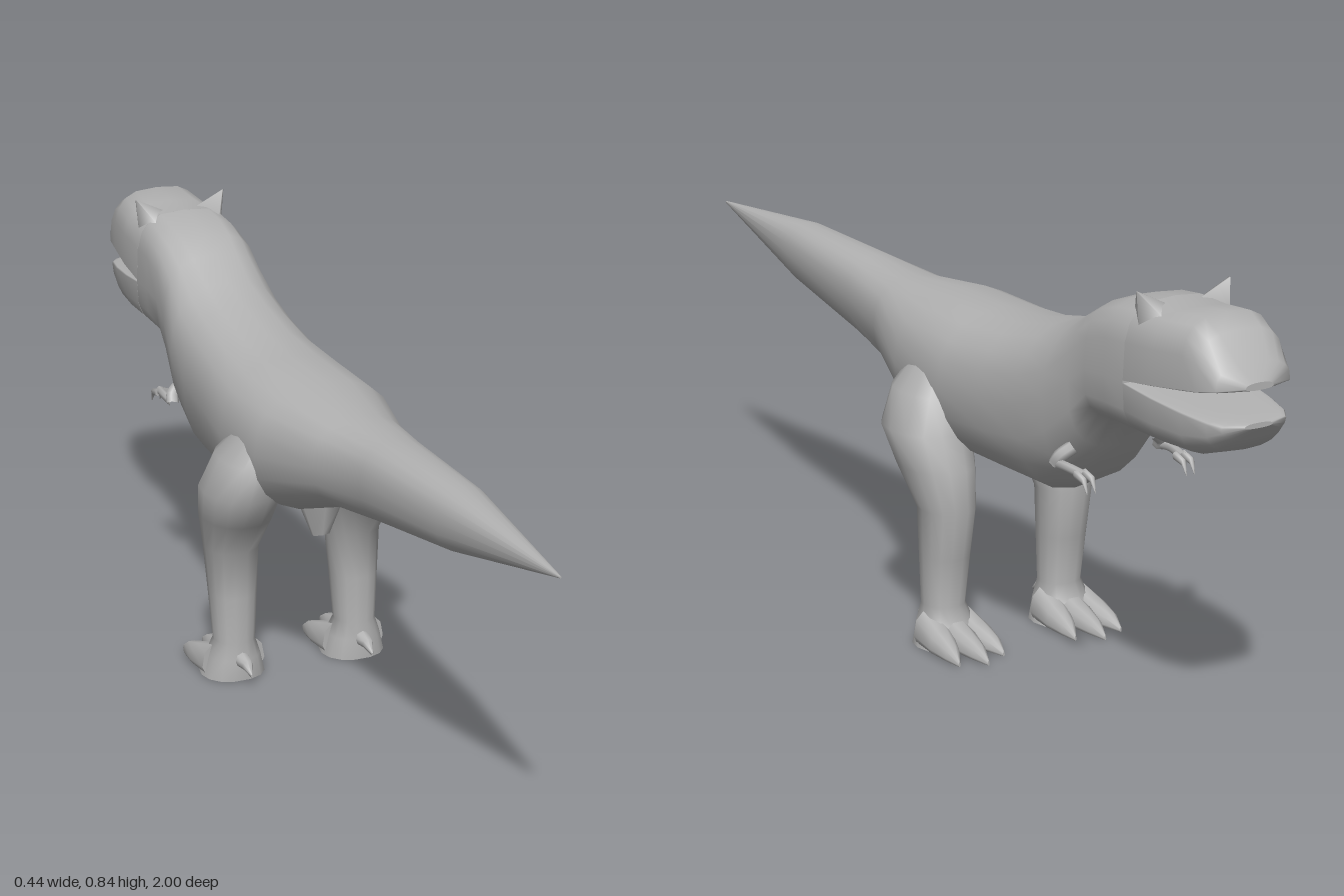
import * as THREE from 'three';

const skin = new THREE.MeshStandardMaterial({ color: 0xb2b2b2 });
skin.name = 'grey skin';

// Closed skin over equal-length rings of [x, y, z]; faces always end up outward.
function loft(rings) {
  const pos = rings.flat(2), idx = [], n = rings[0].length;
  for (let i = 0; i < rings.length - 1; i++) {
    for (let j = 0; j < n; j++) {
      const a = i * n + j, b = i * n + (j + 1) % n;
      idx.push(a, b, a + n, b, b + n, a + n);
    }
  }
  // Separate end caps keep their rims crisp
  [rings[0], rings[rings.length - 1]].forEach((ring, end) => {
    const s = pos.length / 3;
    pos.push(...ring.flat());
    for (let k = 0; k < 3; k++) pos.push(ring.reduce((t, p) => t + p[k], 0) / n);
    for (let j = 0; j < n; j++) {
      const a = s + j, b = s + (j + 1) % n;
      idx.push(...(end ? [a, b, s + n] : [b, a, s + n]));
    }
  });
  const v = (i) => new THREE.Vector3().fromArray(pos, i * 3);
  let volume = 0;
  for (let i = 0; i < idx.length; i += 3) {
    volume += v(idx[i]).dot(v(idx[i + 1]).cross(v(idx[i + 2])));
  }
  if (volume < 0) idx.reverse();
  const g = new THREE.BufferGeometry();
  g.setAttribute('position', new THREE.Float32BufferAttribute(pos, 3));
  g.setIndex(idx);
  g.computeVertexNormals();
  return g;
}

const pow = (v, p) => Math.sign(v) * Math.abs(v) ** p;

// Upright ring: half width w is reached at height mid, p < 1 is boxier.
function upright([z, top, bottom, w, mid, p = 0.85], cx = 0, n = 20) {
  return Array.from({ length: n }, (_, i) => {
    const a = (i / n) * Math.PI * 2, s = pow(Math.sin(a), p);
    return [cx + w * pow(Math.cos(a), p), mid + s * (s > 0 ? top - mid : mid - bottom), z];
  });
}

// Level ring for the legs
function level([y, x, z, rx, rz], side, n = 14) {
  return Array.from({ length: n }, (_, i) => {
    const a = (i / n) * Math.PI * 2;
    return [side * (x + rx * pow(Math.cos(a), 0.9)), y, z + rz * pow(Math.sin(a), 0.9)];
  });
}

export function createModel() {
  const model = new THREE.Group();
  model.name = 'dinosaur';
  const add = (name, geometry, parent = model) => {
    const m = new THREE.Mesh(geometry, skin);
    m.name = name;
    parent.add(m);
    return m;
  };

  // Tail, trunk and neck: z, top, bottom, half width, height of widest point
  add('body', loft([
    [1.0, 0.636, 0.632, 0.002, 0.634],
    [0.62, 0.665, 0.54, 0.055, 0.605],
    [0.33, 0.658, 0.49, 0.075, 0.58],
    [0.17, 0.65, 0.465, 0.102, 0.56],
    [0.0, 0.665, 0.4, 0.152, 0.53],
    [-0.17, 0.665, 0.37, 0.156, 0.52],
    [-0.3, 0.675, 0.365, 0.142, 0.53],
    [-0.42, 0.7, 0.365, 0.135, 0.55],
    [-0.5, 0.725, 0.405, 0.13, 0.58],
    [-0.57, 0.765, 0.49, 0.118, 0.63, 0.75],
    [-0.62, 0.79, 0.562, 0.115, 0.665, 0.65],
    [-0.68, 0.808, 0.565, 0.113, 0.67, 0.6],
    [-0.74, 0.815, 0.565, 0.111, 0.67, 0.6],
  ].map((s) => upright(s))));

  // Jaws, flat along the open mouth
  add('upperJaw', loft([
    [-0.74, 0.815, 0.672, 0.111, 0.673, 0.6],
    [-0.82, 0.814, 0.681, 0.109, 0.684, 0.6],
    [-0.9, 0.822, 0.69, 0.1, 0.695, 0.62],
    [-0.94, 0.8, 0.696, 0.095, 0.7, 0.65],
    [-0.98, 0.75, 0.702, 0.08, 0.707, 0.75],
    [-1.0, 0.718, 0.704, 0.03, 0.709],
  ].map((s) => upright(s))));
  add('lowerJaw', loft([
    [-0.74, 0.668, 0.565, 0.111, 0.667, 0.6],
    [-0.82, 0.661, 0.565, 0.107, 0.658, 0.6],
    [-0.9, 0.655, 0.566, 0.098, 0.65, 0.65],
    [-0.96, 0.65, 0.586, 0.085, 0.644, 0.75],
    [-0.985, 0.647, 0.615, 0.07, 0.64],
    [-1.0, 0.645, 0.635, 0.03, 0.639],
  ].map((s) => upright(s))));

  // Small wedge under the hips
  const vent = add('vent', new THREE.CylinderGeometry(0.05, 0.02, 0.07, 6));
  vent.scale.z = 0.55;
  vent.position.set(0, 0.37, -0.022);

  for (const side of [1, -1]) {
    const label = side > 0 ? 'left' : 'right';

    // Pointed brow horn
    add(label + 'BrowHorn', loft([
      [[0.025, 0.805, -0.765], [0.07, 0.795, -0.715], [0.094, 0.765, -0.765], [0.07, 0.795, -0.81]],
      [[0.099, 0.841, -0.765], [0.1, 0.841, -0.763], [0.101, 0.84, -0.765], [0.1, 0.841, -0.767]],
    ].map((r) => r.map(([x, y, z]) => [side * x, y, z]))));

    // Leg: height, centre x, centre z, radius x, radius z
    const leg = new THREE.Group();
    leg.name = label + 'Leg';
    model.add(leg);
    add('legColumn', loft([
      [0.57, 0.1, -0.08, 0.03, 0.05],
      [0.5, 0.125, -0.09, 0.065, 0.09],
      [0.43, 0.14, -0.1, 0.08, 0.1],
      [0.36, 0.138, -0.135, 0.071, 0.087],
      [0.28, 0.135, -0.17, 0.055, 0.06],
      [0.18, 0.135, -0.163, 0.049, 0.05],
      [0.08, 0.135, -0.157, 0.043, 0.042],
      [0.045, 0.135, -0.163, 0.055, 0.055],
      [0, 0.135, -0.17, 0.067, 0.062],
    ].map((s) => level(s, side))), leg);

    // Three clawed toes
    for (const [from, to, reach] of [[0.1, 0.083, -0.3], [0.135, 0.135, -0.328], [0.17, 0.187, -0.305]]) {
      add('toe', loft([
        [0, 0.07, 0.034], [0.45, 0.048, 0.029], [0.78, 0.032, 0.017], [1, 0.01, 0.002],
      ].map(([t, top, w]) => {
        const x = side * THREE.MathUtils.lerp(from, to, t);
        return upright([THREE.MathUtils.lerp(-0.16, reach, t), top, 0, w, top * 0.3], x, 10);
      })), leg);
    }
    // Dew claw behind the ankle
    add('heelClaw', loft([
      [-0.125, 0.065, 0.03, 0.018, 0.045], [-0.085, 0.052, 0.034, 0.012, 0.043],
      [-0.062, 0.032, 0.026, 0.002, 0.029],
    ].map((s) => upright(s, side * 0.135, 8))), leg);

    // Tiny bent arm with two claws
    const arm = new THREE.Group();
    arm.name = label + 'Arm';
    model.add(arm);
    const tube = (name, pts, r) => add(name, new THREE.TubeGeometry(
      new THREE.CatmullRomCurve3(pts.map(([x, y, z]) => new THREE.Vector3(side * x, y, z))), 8, r, 7), arm);
    tube('upperArm', [[0.09, 0.495, -0.55], [0.112, 0.478, -0.54], [0.116, 0.462, -0.53]], 0.014);
    tube('forearm', [[0.115, 0.462, -0.526], [0.117, 0.466, -0.565], [0.11, 0.462, -0.618]], 0.009);
    for (const dx of [-0.009, 0.009]) {
      add('finger', loft([
        [-0.605, 0.47, 0.454, 0.007, 0.462], [-0.632, 0.463, 0.449, 0.006, 0.456],
        [-0.642, 0.436, 0.432, 0.001, 0.434],
      ].map((s) => upright(s, side * (0.11 + dx), 7))), arm);
    }
  }
  return model;
}
